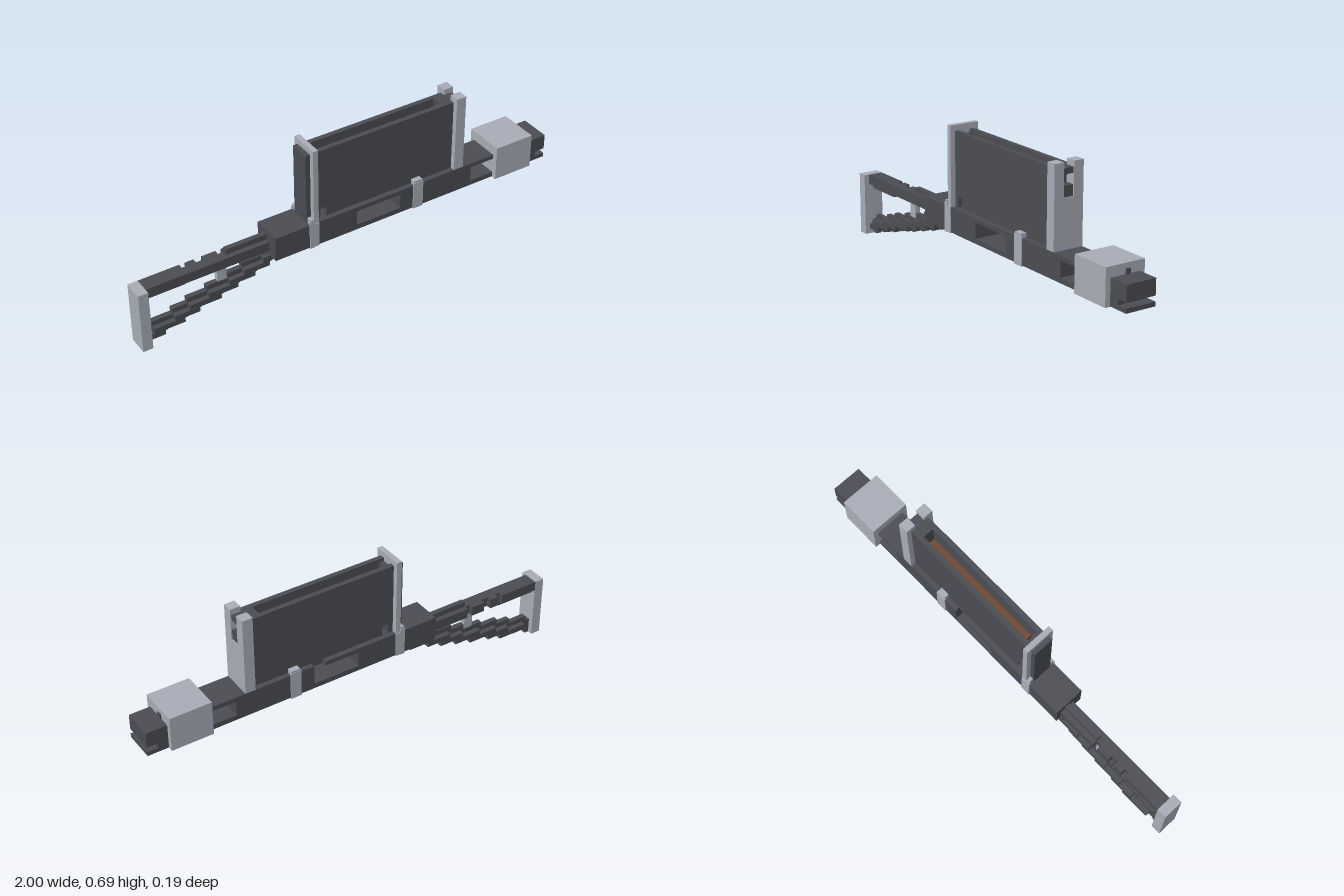
import * as THREE from 'three';

export function createModel() {
  const model = new THREE.Group();
  model.name = 'blockRifle';

  const material = (name, color) => {
    const m = new THREE.MeshStandardMaterial({ color });
    m.name = name;
    return m;
  };
  const dark = material('darkMetal', 0x4c4e54);
  const light = material('lightMetal', 0xabafba);
  const brown = material('brownFilling', 0x70492f);

  // Box given by its minimum and maximum on each axis
  const box = (name, mat, x0, x1, y0, y1, z0, z1) => {
    const mesh = new THREE.Mesh(new THREE.BoxGeometry(x1 - x0, y1 - y0, z1 - z0), mat);
    mesh.position.set((x0 + x1) / 2, (y0 + y1) / 2, (z0 + z1) / 2);
    mesh.name = name;
    model.add(mesh);
  };
  // The same box on the front and back side
  const pair = (name, mat, x0, x1, y0, y1, z0, z1) => {
    box(name + 'Front', mat, x0, x1, y0, y1, z0, z1);
    box(name + 'Back', mat, x0, x1, y0, y1, -z1, -z0);
  };

  // Butt plate and upper stock bar
  box('buttPlate', light, -1, -0.955, 0, 0.285, -0.046, 0.046);
  box('stockBar', dark, -0.955, -0.39, 0.24, 0.285, -0.023, 0.023);
  box('stockBarUnderside', dark, -0.955, -0.77, 0.217, 0.24, -0.023, 0.0);
  box('stockComb', dark, -0.58, -0.39, 0.285, 0.31, -0.023, 0.0);
  // Notched strip along the back of the stock bar
  for (const [a, b] of [[-0.955, -0.77], [-0.745, -0.705], [-0.67, -0.605], [-0.58, -0.39]]) {
    box('stockStrip', dark, a, b, 0.24, 0.285, -0.046, -0.023);
  }

  // Stepped lower stock: start and end of each step along x
  const steps = [
    [-0.955, -0.935], [-0.955, -0.863], [-0.933, -0.772], [-0.837, -0.703], [-0.767, -0.602],
    [-0.677, -0.522], [-0.58, -0.441], [-0.511, -0.371], [-0.42, -0.275],
  ];
  steps.forEach(([a, b], i) => {
    const y = i * 0.0237;
    const top = Math.min(y + 0.047, 0.216);
    box('stockStepCore', dark, a, b, y, top, -0.023, 0);
    if (i > 0) box('stockStepFront', dark, a, b - 0.02, y, y + 0.024, 0, 0.023);
    if (i > 1) box('stockStepBack', dark, a + 0.02, b, y, y + 0.024, -0.046, -0.023);
  });
  box('stockStrut', light, -0.625, -0.582, 0.165, 0.24, -0.023, 0);

  // Body with two side windows
  const w = 0.07;
  box('bodyFloor', dark, -0.39, 0.72, 0.217, 0.24, -w, w);
  box('bodyRear', dark, -0.39, 0.007, 0.24, 0.33, -w, w);
  box('bodyMiddle', dark, 0.225, 0.595, 0.24, 0.33, -w, w);
  box('windowTop', dark, 0.007, 0.225, 0.31, 0.33, -0.047, w);
  box('windowTopBack', dark, 0.007, 0.17, 0.31, 0.33, -w, -0.047);
  box('barrelTop', dark, 0.595, 0.72, 0.31, 0.33, -w, w);

  // Muzzle block and split tip
  box('muzzleBlock', light, 0.715, 0.905, 0.215, 0.375, -0.093, 0.093);
  box('tipLower', dark, 0.905, 1, 0.217, 0.236, -w, w);
  box('tipCore', dark, 0.905, 0.952, 0.236, 0.26, -w, w);
  box('tipUpper', dark, 0.905, 1, 0.26, 0.33, -w, w);
  box('sightPlate', dark, 0.905, 0.91, 0.33, 0.353, -0.023, 0);

  // Bands wrapped round the body
  for (const [a, b, top] of [[0.29, 0.34, 0.34], [-0.226, -0.203, 0.345]]) {
    pair('bandSide', light, a, b, 0.215, top, 0.066, 0.074);
    box('bandBottom', light, a, b, 0.213, 0.219, -0.074, 0.074);
    pair('bandTop', light, a + 0.004, b - 0.004, 0.33, top + 0.01, 0.047, 0.072);
  }
  pair('rearPlateFoot', light, -0.205, -0.181, 0.215, 0.33, 0.066, 0.074);

  // Tall open box: outer walls with a small slot near the bottom
  pair('boxWall', dark, -0.181, 0.503, 0.375, 0.66, 0.025, 0.047);
  pair('boxWallFoot', dark, -0.181, -0.158, 0.33, 0.375, 0.025, 0.047);
  pair('boxWallBase', dark, -0.13, 0.503, 0.33, 0.375, 0.025, 0.047);
  box('boxRearEnd', dark, -0.181, -0.158, 0.33, 0.645, -0.025, 0.025);
  box('boxFrontEnd', dark, 0.45, 0.503, 0.33, 0.66, -0.025, 0.025);
  box('boxFilling', brown, -0.13, 0.45, 0.375, 0.56, -0.025, 0.025);

  // Rear end plate with its backing
  box('rearPlate', light, -0.205, -0.181, 0.33, 0.685, -w, w);
  box('rearPlateBacking', dark, -0.226, -0.205, 0.33, 0.66, -0.047, 0.047);

  // Front end plate: two pillars with a slot between them
  pair('frontPillar', light, 0.503, 0.55, 0.33, 0.685, 0.024, w);
  box('frontPlateBase', light, 0.503, 0.55, 0.33, 0.542, -0.024, 0.024);
  box('slotLid', dark, 0.503, 0.545, 0.635, 0.66, -0.024, 0.024);
  box('slotLedge', dark, 0.503, 0.545, 0.542, 0.59, -0.024, 0.024);

  return model;
}
